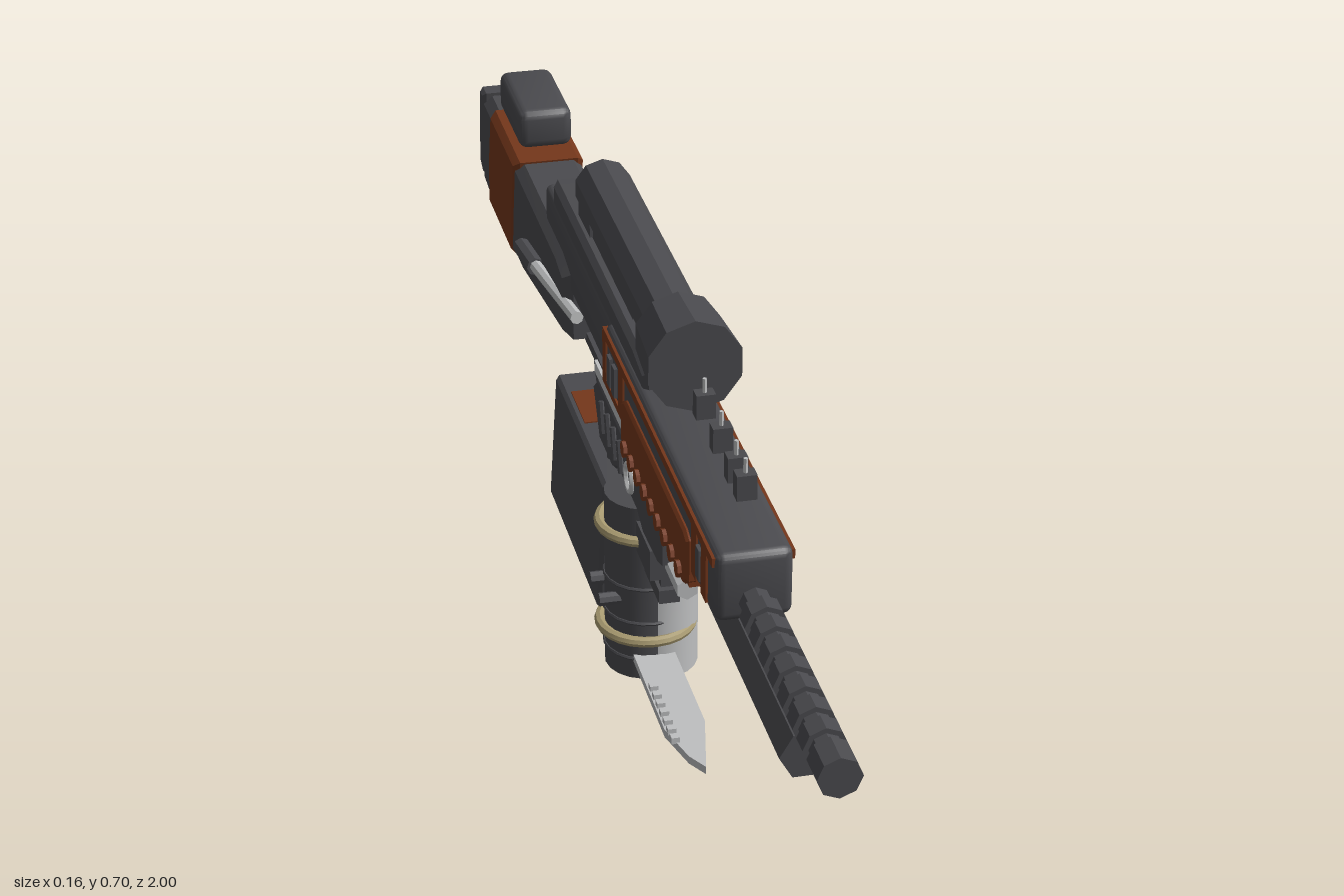
import * as THREE from 'three';
import { toCreasedNormals } from 'three/addons/utils/BufferGeometryUtils.js';
import { RoundedBoxGeometry } from 'three/addons/geometries/RoundedBoxGeometry.js';

function material(name, color) {
  const m = new THREE.MeshStandardMaterial({ color });
  m.name = name;
  return m;
}

export function createModel() {
  const model = new THREE.Group();
  const dark = material('dark metal', 0x4a4a4e);
  const rust = material('rust brown', 0x75371b);
  const light = material('light metal', 0xbebfc0);
  const tan = material('tan strap', 0xa89a70);

  const add = (name, geo, mat) => {
    const mesh = new THREE.Mesh(toCreasedNormals(geo, 0.6), mat);
    mesh.name = name;
    model.add(mesh);
    return mesh;
  };
  // Box given by its limits on each axis
  const box = (name, mat, [x0, x1], [y0, y1], [z0, z1], r = 0) => {
    const s = [x1 - x0, y1 - y0, z1 - z0];
    const g = r ? new RoundedBoxGeometry(...s, 2, r) : new THREE.BoxGeometry(...s);
    return add(name, g.translate((x0 + x1) / 2, (y0 + y1) / 2, (z0 + z1) / 2), mat);
  };
  // Side outline of [z, y] points, given a width across x
  const slab = (name, mat, points, width, bevel = 0, x = 0) => {
    const shape = new THREE.Shape(points.map(p => new THREE.Vector2(...p)));
    const g = new THREE.ExtrudeGeometry(shape, {
      depth: width - 2 * bevel, bevelEnabled: bevel > 0, bevelSize: bevel,
      bevelThickness: bevel, bevelOffset: -bevel, bevelSegments: 1,
    });
    g.translate(0, 0, bevel - width / 2).rotateY(-Math.PI / 2).translate(x, 0, 0);
    return add(name, g, mat);
  };
  // Cylinder between two points
  const rod = (name, mat, a, b, r, sides = 8, turn = 0, r2 = r) => {
    const p = new THREE.Vector3(...a), q = new THREE.Vector3(...b);
    const g = new THREE.CylinderGeometry(r2, r, p.distanceTo(q), sides, 1, false, turn);
    const mesh = add(name, g, mat);
    mesh.position.copy(p).lerp(q, 0.5);
    mesh.quaternion.setFromUnitVectors(new THREE.Vector3(0, 1, 0), q.sub(p).normalize());
    return mesh;
  };

  // Barrel with a ribbed end, and the tube beneath it
  rod('barrel', dark, [0, 0.467, 0.55], [0, 0.467, 0.99], 0.021);
  for (let i = 0; i < 8; i++) {
    const z = 0.64 + i * 0.045;
    rod('barrelRib', dark, [0, 0.467, z], [0, 0.467, z + 0.028], 0.028);
  }
  rod('barrelTip', dark, [0, 0.467, 0.975], [0, 0.467, 1], 0.028);
  rod('lowerTube', dark, [0, 0.405, 0.09], [0, 0.405, 0.86], 0.034, 6, Math.PI / 2);

  // Handguard, brown trim and side grips
  box('handguard', dark, [-0.05, 0.05], [0.44, 0.537], [-0.04, 0.61], 0.012);
  for (const s of [-1, 1]) {
    const span = (a, b) => [Math.min(s * a, s * b), Math.max(s * a, s * b)];
    box('handguardTrim', rust, span(0.045, 0.053), [0.517, 0.53], [-0.04, 0.6]);
    for (const [z, w] of [[0.555, 0.026], [0.503, 0.026], [0.075, 0.03], [-0.03, 0.022]])
      box('trimBar', rust, span(0.045, 0.053), [0.447, 0.525], [z - w / 2, z + w / 2]);
    box('trimSill', rust, span(0.045, 0.053), [0.445, 0.456], [-0.04, 0.09]);
    for (const z of [0.53, 0.035, 0.005])
      box('vent', dark, span(0.045, 0.055), [0.46, 0.505], [z - 0.009, z + 0.009]);
    slab('sideGrip', rust, [[0.48, 0.425], [0.48, 0.485], [0.46, 0.492], [0.11, 0.492],
      [0.09, 0.48], [0.09, 0.425], [0.11, 0.41], [0.46, 0.41]], 0.025, 0.004, s * 0.044);
    for (let i = 0; i < 9; i++) {
      const z = 0.125 + i * 0.04;
      rod('gripKnob', rust, [s * 0.05, 0.425, z], [s * 0.062, 0.425, z], 0.012);
    }
  }
  box('gripFloor', rust, [-0.05, 0.05], [0.41, 0.442], [0.1, 0.47]);

  // Receiver and top rail
  box('receiver', dark, [-0.042, 0.042], [0.445, 0.54], [-0.5, -0.03], 0.01);
  slab('upperReceiver', dark, [[0.17, 0.53], [0.17, 0.562], [0.1, 0.572],
    [-0.44, 0.572], [-0.44, 0.53]], 0.084, 0.008);
  box('topRail', dark, [-0.025, 0.025], [0.565, 0.588], [-0.31, 0.03]);
  for (let i = 0; i < 8; i++)
    box('railTooth', dark, [-0.022, 0.022], [0.58, 0.594], [-0.29 + i * 0.04, -0.27 + i * 0.04]);

  // Scope
  rod('scopeTube', dark, [0, 0.631, -0.28], [0, 0.631, 0.22], 0.042, 10);
  rod('scopeBell', dark, [0, 0.631, 0.19], [0, 0.631, 0.29], 0.06, 10, 0, 0.066);
  box('scopeMount', dark, [-0.03, 0.03], [0.575, 0.608], [-0.31, -0.23]);
  box('scopeMount', dark, [-0.025, 0.025], [0.575, 0.605], [0.02, 0.08]);

  // Small sight pins
  for (const z of [0.553, 0.507, 0.43, 0.34]) {
    box('sightBlock', dark, [-0.013, 0.013], [0.585, 0.62], [z - 0.01, z + 0.01]);
    rod('sightPin', light, [0, 0.62, z], [0, 0.64, z], 0.003, 6);
  }

  // Stock with brown band, cheek pad, butt pad and bottom ridges
  slab('stock', dark, [[-0.31, 0.37], [-0.31, 0.478], [-0.37, 0.49], [-0.97, 0.49],
    [-0.985, 0.33], [-0.9, 0.32], [-0.635, 0.32]], 0.106, 0.014);
  slab('stockBand', rust, [[-0.68, 0.493], [-0.89, 0.493], [-0.915, 0.4], [-0.92, 0.317],
    [-0.715, 0.317], [-0.7, 0.4]], 0.112, 0.01);
  slab('buttPad', dark, [[-0.955, 0.495], [-0.985, 0.495], [-1, 0.36], [-0.965, 0.345]], 0.11, 0.006);
  for (const z of [-0.66, -0.76, -0.87, -0.96])
    box('stockRidge', dark, [-0.04, 0.04], [0.308, 0.335], [z - 0.022, z + 0.022], 0.006);
  box('cheekPad', dark, [-0.042, 0.042], [0.505, 0.568], [-0.875, -0.7], 0.014);

  // Side levers
  for (const s of [-1, 1]) {
    rod('lever', light, [s * 0.044, 0.432, -0.26], [s * 0.063, 0.41, -0.5], 0.01);
    rod('leverEnd', dark, [s * 0.062, 0.411, -0.48], [s * 0.067, 0.404, -0.57], 0.014);
  }

  // Trigger housing
  slab('triggerHousing', dark, [[0.195, 0.275], [0.195, 0.355], [-0.2, 0.362], [-0.235, 0.335],
    [-0.19, 0.265], [-0.1, 0.265], [-0.06, 0.285], [0.06, 0.285], [0.1, 0.27]], 0.054, 0.006);
  box('triggerBolt', light, [-0.025, 0.025], [0.358, 0.376], [-0.23, -0.035]);
  box('boltCover', dark, [-0.02, 0.02], [0.364, 0.38], [-0.32, -0.1]);
  rod('frontPin', light, [0, 0.27, 0.18], [0, 0.27, 0.255], 0.016, 6);
  for (const s of [-1, 1]) {
    for (let i = 0; i < 4; i++)
      rod('housingRib', dark, [s * 0.029, 0.345, -0.04 - i * 0.04], [s * 0.029, 0.3, -0.025 - i * 0.04], 0.006);
    add('housingRing', new THREE.TorusGeometry(0.02, 0.005, 6, 16).rotateY(Math.PI / 2)
      .translate(s * 0.028, 0.318, 0.02), s < 0 ? light : dark);
  }
  for (let i = 0; i < 3; i++) {
    const z = -0.24 - i * 0.04;
    const path = new THREE.CatmullRomCurve3([[0.365, 0], [0.33, 0], [0.29, 0.025], [0.265, 0.04]]
      .map(([y, d]) => new THREE.Vector3(0, y, z + d)));
    add('triggerBar', new THREE.TubeGeometry(path, 8, 0.007, 6), i === 1 ? light : dark);
  }
  rod('triggerPost', dark, [0, 0.25, -0.16], [0, 0.3, -0.16], 0.022);

  // Stepped block ahead of the canister
  box('frontBlock', dark, [-0.026, 0.026], [0.218, 0.266], [0.04, 0.14]);
  box('frontBlockFoot', dark, [-0.015, 0.015], [0.185, 0.206], [0.04, 0.15]);
  for (let i = 0; i < 4; i++)
    box('blockTooth', dark, [-0.01, 0.01], [0.2, 0.22], [0.062 + i * 0.022, 0.074 + i * 0.022]);

  // Canister with light shell and straps
  rod('canister', dark, [0, 0.002, 0], [0, 0.285, 0], 0.06, 20);
  rod('canisterShell', light, [0.015, 0, 0], [0.015, 0.205, 0], 0.061, 20);
  rod('shellShoulder', light, [0.015, 0.205, 0], [0.015, 0.215, 0], 0.061, 20, 0, 0.054);
  rod('canisterValve', light, [0.04, 0.28, 0], [0.04, 0.318, 0], 0.01);
  box('canisterClip', light, [0.052, 0.064], [0.21, 0.228], [-0.012, 0.012]);
  for (const y of [0.236, 0.069])
    add('strap', new THREE.TorusGeometry(0.067, 0.008, 8, 24).rotateX(Math.PI / 2).translate(0, y, 0), tan);
  for (const y of [0.152, 0.095, 0.035])
    add('canisterBand', new THREE.TorusGeometry(0.06, 0.003, 6, 20).rotateX(Math.PI / 2).translate(0, y, 0), dark);
  for (const z of [-0.03, 0.03])
    rod('canisterKnob', dark, [-0.03, 0.128, z], [-0.076, 0.128, z], 0.01);
  box('canisterFoot', dark, [-0.02, 0.02], [0.012, 0.04], [-0.14, -0.04]);

  // Flat blade lying level, with a row of teeth
  const bladeShape = new THREE.Shape([[-0.03, 0.03], [0.03, 0.03], [0.03, 0.24], [0.005, 0.35],
    [-0.012, 0.32], [-0.03, 0.25]].map(p => new THREE.Vector2(...p)));
  add('blade', new THREE.ExtrudeGeometry(bladeShape, { depth: 0.012, bevelEnabled: false })
    .rotateX(Math.PI / 2).translate(0, 0.042, 0), light);
  for (let i = 0; i < 7; i++)
    box('bladeTooth', light, [-0.028, -0.016], [0.04, 0.05], [0.14 + i * 0.022, 0.152 + i * 0.022]);

  // Slanted magazine with a front spine and brown end patches
  slab('magazine', dark, [[-0.09, 0.243], [-0.44, 0.243], [-0.5, 0.003], [-0.14, 0.003]], 0.084, 0.006);
  slab('magazineSpine', dark, [[-0.1, 0.235], [-0.16, 0.235], [-0.2, 0.008], [-0.13, 0.008],
    [-0.07, 0.03], [-0.08, 0.2]], 0.06, 0.004);
  box('magazineTopPatch', rust, [-0.03, 0.03], [0.238, 0.245], [-0.38, -0.28]);
  box('magazineBasePatch', rust, [-0.03, 0.03], [0.001, 0.006], [-0.42, -0.34]);

  return model;
}
